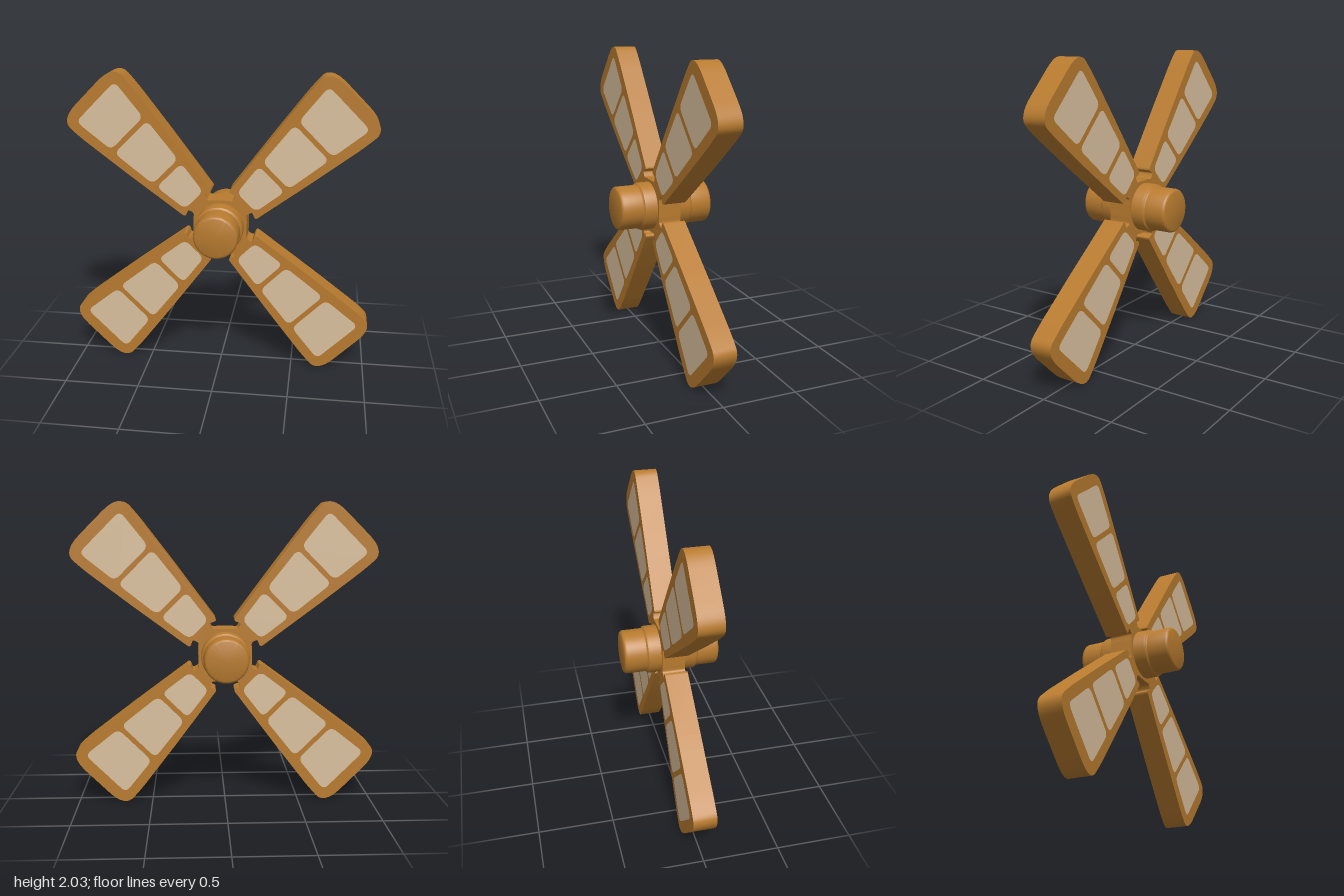
import * as THREE from 'three';
import { toCreasedNormals } from 'three/addons/utils/BufferGeometryUtils.js';

const DEPTH = 0.154;

// Closed shape from [x, y, cut] corners, each softened by a curve starting `cut` away.
function roundedShape(corners) {
  const shape = new THREE.Shape();
  const n = corners.length;
  corners.forEach(([x, y, cut], i) => {
    const c = new THREE.Vector2(x, y);
    const toward = ([px, py]) => {
      const d = new THREE.Vector2(px, py).sub(c);
      return d.setLength(Math.min(cut, d.length() / 2)).add(c);
    };
    const a = toward(corners[(i + n - 1) % n]);
    const b = toward(corners[(i + 1) % n]);
    if (i === 0) shape.moveTo(a.x, a.y);
    else shape.lineTo(a.x, a.y);
    shape.quadraticCurveTo(c.x, c.y, b.x, b.y);
  });
  shape.closePath();
  return shape;
}

export function createModel() {
  const wood = new THREE.MeshStandardMaterial({ color: 0xb87b2f });
  wood.name = 'wood';
  const cloth = new THREE.MeshStandardMaterial({ color: 0xdac09e });
  cloth.name = 'cloth';

  const model = new THREE.Group();
  model.name = 'windmillSails';
  const rotor = new THREE.Group();
  rotor.name = 'rotor';
  rotor.position.y = 1;
  model.add(rotor);

  const add = (name, geometry, material, parent) => {
    const mesh = new THREE.Mesh(geometry, material);
    mesh.name = name;
    parent.add(mesh);
    return mesh;
  };

  // Four-armed frame: half of one arm's edge, mirrored and then turned four times
  const edge = [
    [0.159, 0.095, 0.01], [0.185, 0.064, 0.015], [0.228, 0.078, 0.015],
    [0.203, 0.128, 0.025], [0.69, 0.2, 0.05], [1.05, 0.248, 0.05], [1.235, 0.26, 0.155],
  ];
  const arm = [
    ...edge.map(([u, v, cut]) => [u, -v, cut]),
    ...edge.slice().reverse(),
  ];
  const outline = [];
  for (let k = 0; k < 4; k++) {
    const angle = Math.PI / 4 + (k * Math.PI) / 2;
    const c = Math.cos(angle), s = Math.sin(angle);
    for (const [u, v, cut] of arm) outline.push([u * c - v * s, u * s + v * c, cut]);
  }
  const frame = new THREE.ExtrudeGeometry(roundedShape(outline), {
    depth: DEPTH, bevelEnabled: false, curveSegments: 8,
  });
  frame.translate(0, 0, -DEPTH / 2);
  add('sailFrame', toCreasedNormals(frame, 0.3), wood, rotor);

  // Cloth panels on both faces: [inner u, outer u, inner half width, outer half width]
  const panels = [
    [0.247, 0.482, 0.088, 0.12],
    [0.516, 0.835, 0.123, 0.16],
    [0.868, 1.155, 0.158, 0.19],
  ].map(([u0, u1, w0, w1]) => new THREE.ShapeGeometry(roundedShape([
    [u0, -w0, 0.045], [u1, -w1, 0.045], [u1, w1, 0.045], [u0, w0, 0.045],
  ]), 6));
  for (let k = 0; k < 4; k++) {
    const sail = new THREE.Group();
    sail.name = 'sailPanels' + (k + 1);
    sail.rotation.z = Math.PI / 4 + (k * Math.PI) / 2;
    rotor.add(sail);
    for (const geometry of panels) {
      add('frontPanel', geometry, cloth, sail).position.z = DEPTH / 2 + 0.003;
      const back = add('backPanel', geometry, cloth, sail);
      back.position.z = -DEPTH / 2 - 0.003;
      back.rotation.x = Math.PI;
    }
  }

  // Stepped hub running through the frame, the same on both ends
  const half = [
    [0.16, 0.152], [0.157, 0.162], [0.15, 0.167], [0.146, 0.172], [0.146, 0.3],
    [0.143, 0.31], [0.137, 0.317], [0.129, 0.32], [0, 0.32],
  ];
  const profile = [
    ...half.slice().reverse().map(([r, z]) => new THREE.Vector2(r, -z)),
    ...half.map(([r, z]) => new THREE.Vector2(r, z)),
  ];
  const hub = new THREE.LatheGeometry(profile, 48);
  hub.rotateX(Math.PI / 2);
  add('hub', toCreasedNormals(hub, 0.6), wood, rotor);

  return model;
}
